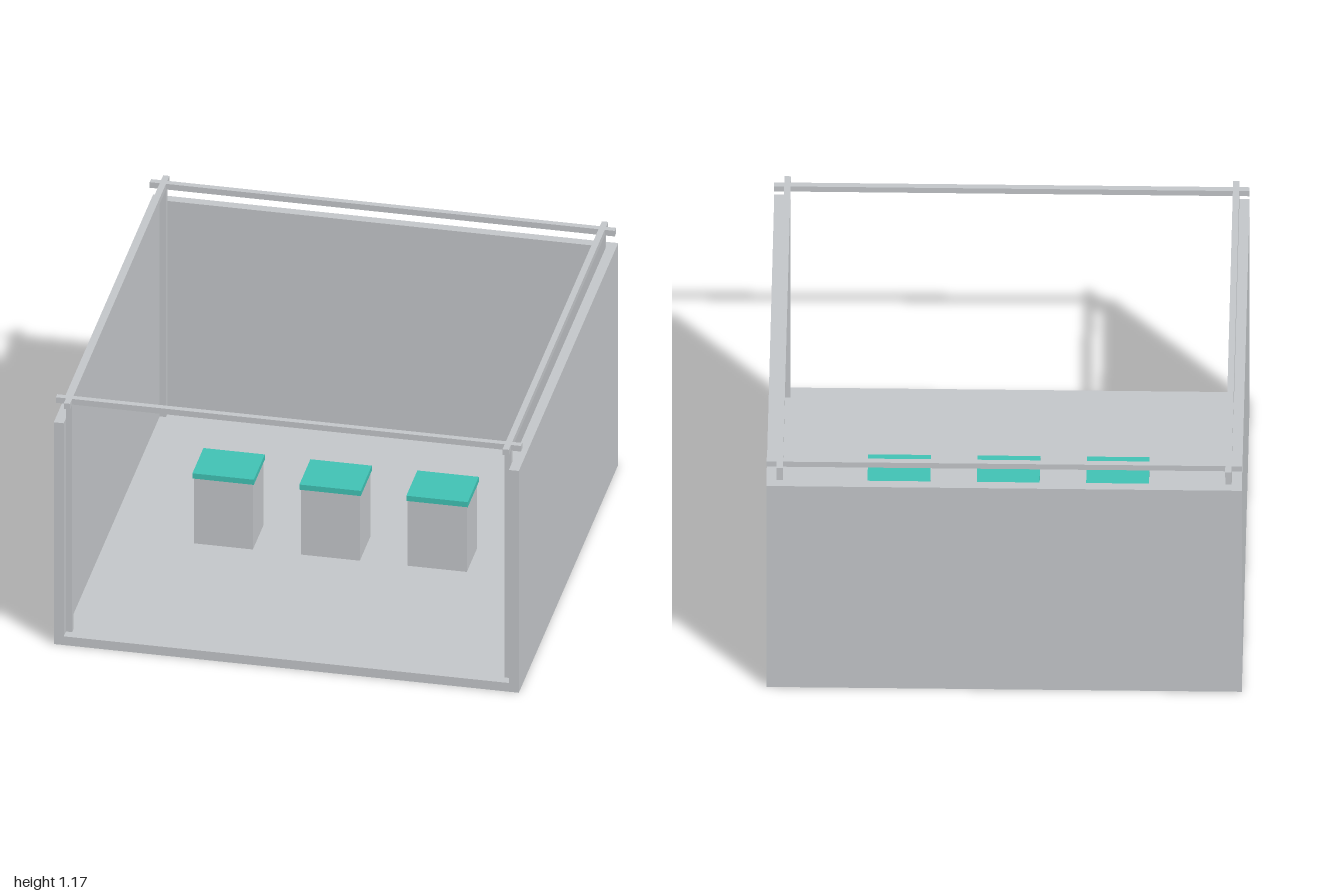
import * as THREE from 'three';

export function createModel() {
  const model = new THREE.Group();
  const grey = new THREE.MeshStandardMaterial({ name: 'light grey', color: 0xc2c5c8 });
  const teal = new THREE.MeshStandardMaterial({ name: 'teal', color: 0x40c1b3 });

  // Box given by its minimum and maximum corners
  function box(name, material, [x0, y0, z0], [x1, y1, z1], parent = model) {
    const mesh = new THREE.Mesh(new THREE.BoxGeometry(x1 - x0, y1 - y0, z1 - z0), material);
    mesh.name = name;
    mesh.position.set((x0 + x1) / 2, (y0 + y1) / 2, (z0 + z1) / 2);
    parent.add(mesh);
    return mesh;
  }

  const inner = 0.957, floorTop = 0.042, wallTop = 1.07;
  const bar = 0.027, railTop = 1.167;
  const mid = inner - bar / 2; // centre line of posts and rails

  // Floor and three walls, open at the front
  box('floor', grey, [-inner, 0, -inner], [inner, floorTop, 1]);
  box('backWall', grey, [-inner, 0, -1], [inner, wallTop, -inner]);
  box('leftWall', grey, [inner, 0, -1], [1, wallTop, 1]);
  box('rightWall', grey, [-1, 0, -1], [-inner, wallTop, 1]);

  // Frame: corner posts and overhead rails crossing at the corners
  const frame = new THREE.Group();
  frame.name = 'frame';
  model.add(frame);
  const h = bar / 2;
  for (const s of [-1, 1]) {
    const c = s * mid;
    for (const t of [-1, 1]) {
      const d = t * mid;
      box('post', grey, [c - h, floorTop, d - h], [c + h, railTop - bar, d + h], frame);
    }
    box('sideRail', grey, [c - h, railTop - bar, -1], [c + h, railTop, 1], frame);
    box('crossRail', grey, [-1, railTop - bar, c - h], [1, railTop, c + h], frame);
  }

  // Row of three display stands with coloured tops
  for (const x of [-0.462, -0.002, 0.458]) {
    const stand = new THREE.Group();
    stand.name = 'displayStand';
    stand.position.x = x;
    model.add(stand);
    box('pedestal', grey, [-0.127, floorTop, -0.105], [0.127, 0.357, 0.105], stand);
    box('standTop', teal, [-0.132, 0.357, -0.112], [0.132, 0.382, 0.11], stand);
  }
  return model;
}
